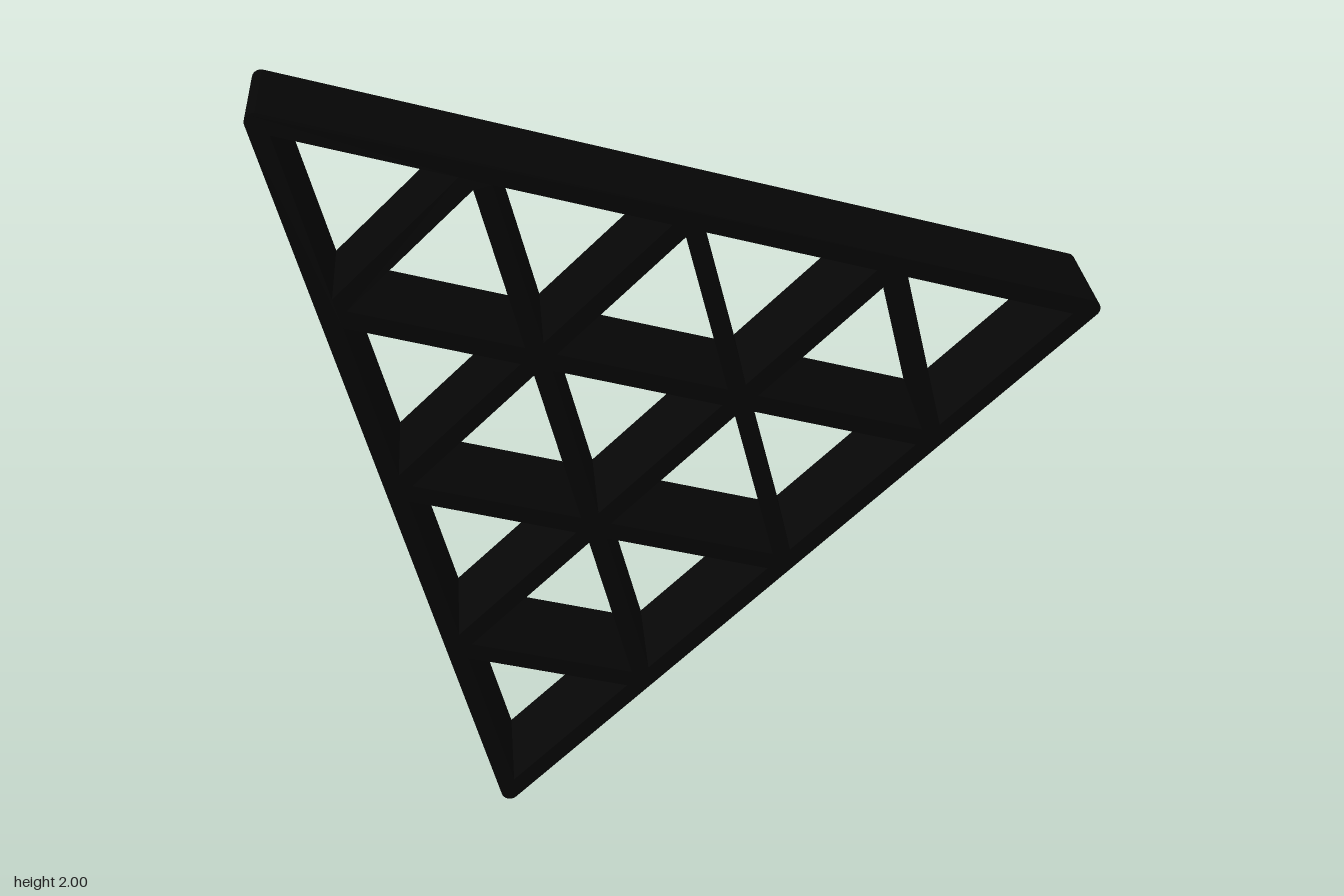
import * as THREE from 'three';

const SIDE = 2.01;      // side of the triangle through the bar centre lines
const HALF = 0.0225;    // half the bar width
const DEPTH = 0.253;
const CELLS = 4;        // cells along each side
const LEAN = 0.0138;
const rad = THREE.MathUtils.degToRad;

export function createModel() {
  const group = new THREE.Group();
  const material = new THREE.MeshStandardMaterial();
  material.color.set(0x060606);

  // Centre-line corners, counter-clockwise: bottom, right, top
  const dir = (deg) => new THREE.Vector2(Math.cos(rad(deg)), Math.sin(rad(deg)));
  const toRight = dir(43.85).multiplyScalar(SIDE);
  const toTop = dir(103.85).multiplyScalar(SIDE);
  const bottom = new THREE.Vector2(-(toRight.x + toTop.x) / 2, HALF + 0.0018 - 1);
  const corners = [bottom, bottom.clone().add(toRight), bottom.clone().add(toTop)];

  // Outer outline with rounded corners
  const outline = new THREE.Shape();
  corners.forEach((c, k) => {
    const start = -166.15 + 120 * k;
    outline.absarc(c.x, c.y, HALF, rad(start), rad(start + 120), false);
  });
  outline.closePath();

  // Lattice of triangular openings, each inset by half a bar
  const node = (i, j) => bottom.clone()
    .addScaledVector(toRight, i / CELLS).addScaledVector(toTop, j / CELLS);
  const shrink = 1 - HALF / (SIDE / CELLS / (2 * Math.sqrt(3)));
  const cutCell = (a, b, c) => {
    const mid = a.clone().add(b).add(c).divideScalar(3);
    outline.holes.push(new THREE.Path([a, b, c].map((p) => mid.clone().lerp(p, shrink))));
  };
  for (let i = 0; i < CELLS; i++) {
    for (let j = 0; i + j < CELLS; j++) {
      cutCell(node(i, j), node(i, j + 1), node(i + 1, j));
      if (i + j < CELLS - 1) cutCell(node(i + 1, j), node(i, j + 1), node(i + 1, j + 1));
    }
  }

  // Deep triangular grid, leaning very slightly forward
  const geometry = new THREE.ExtrudeGeometry(outline, {
    depth: DEPTH, bevelEnabled: false, curveSegments: 8,
  });
  geometry.translate(0, 0, -DEPTH / 2);
  const grid = new THREE.Mesh(geometry, material);
  grid.name = 'triangularGrid';
  grid.position.y = 1;
  grid.rotation.x = LEAN;
  group.add(grid);
  return group;
}
